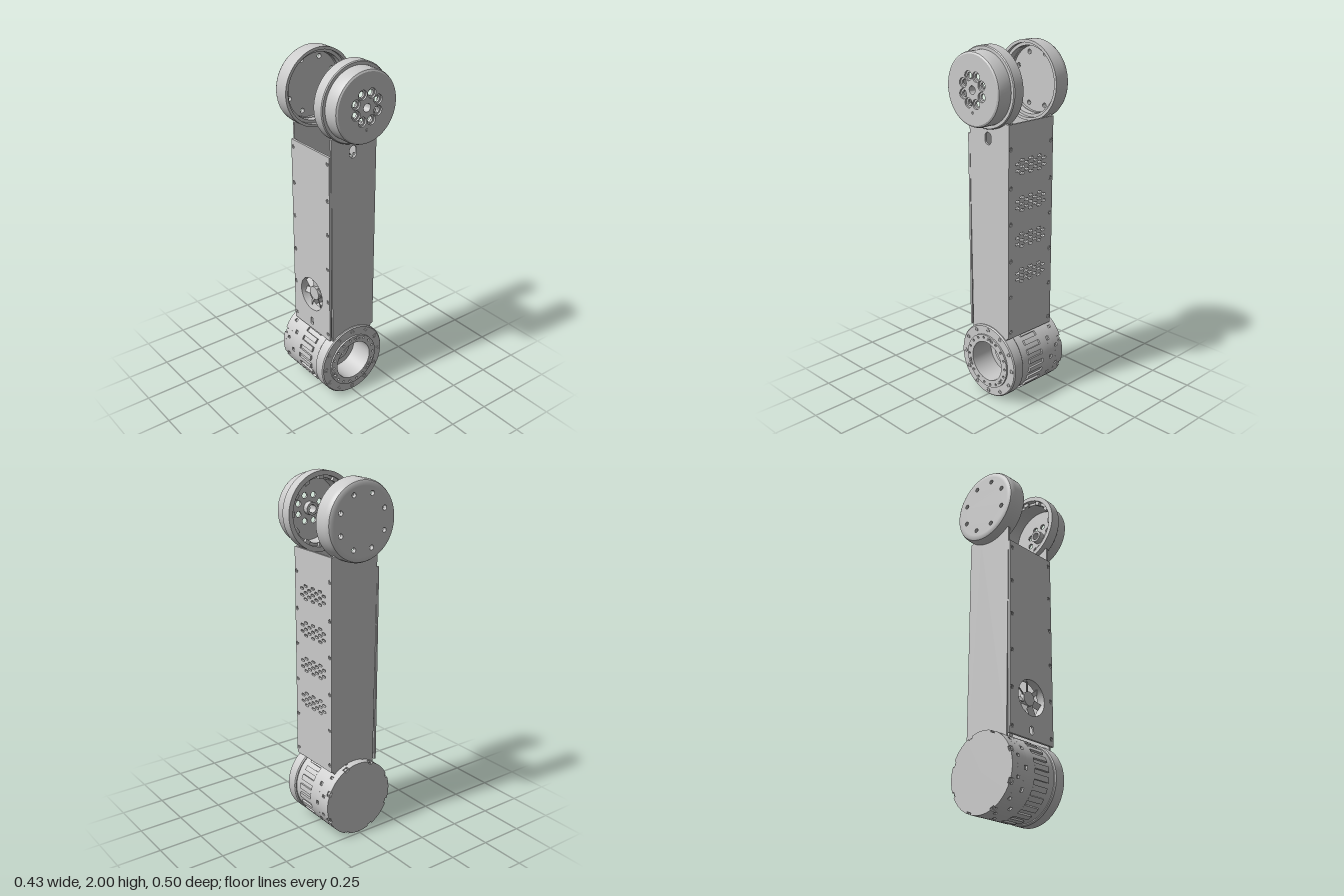
import * as THREE from 'three';
import { toCreasedNormals } from 'three/addons/utils/BufferGeometryUtils.js';

const TAU = Math.PI * 2, R = 0.216, LOW = 0.216, HIGH = 1.784;
const material = new THREE.MeshStandardMaterial({ color: 0xcccccc });

function add(parent, name, geometry, x = 0, y = 0, z = 0) {
  const mesh = new THREE.Mesh(geometry, material);
  mesh.name = name;
  mesh.position.set(x, y, z);
  parent.add(mesh);
  return mesh;
}

// Turned part around z; the [radius, z] profile runs anticlockwise
const turned = (profile, segments = 72) => toCreasedNormals(
  new THREE.LatheGeometry(profile.map(p => new THREE.Vector2(...p)), segments).rotateX(Math.PI / 2), 0.5);

// Flat part from z0 to z1
const slab = (shape, z0, z1) => toCreasedNormals(
  new THREE.ExtrudeGeometry(shape, { depth: z1 - z0, bevelEnabled: false, curveSegments: 20 }).translate(0, 0, z0), 0.5);

const disc = r => {
  const s = new THREE.Shape();
  for (let i = 0; i < 72; i++) {
    const a = i / 72 * TAU;
    i ? s.lineTo(r * Math.cos(a), r * Math.sin(a)) : s.moveTo(r, 0);
  }
  return s;
};
const hole = (s, x, y, r) => s.holes.push(new THREE.Path().absarc(x, y, r, 0, TAU, true));

// Rounded slot with half-length l and radius r
function slot(s, x, y, l, r, vertical = false) {
  const p = new THREE.Path(), q = Math.PI / 2, d = l - r;
  if (vertical) p.absarc(x, y + d, r, 0, 2 * q).absarc(x, y - d, r, 2 * q, 4 * q);
  else p.absarc(x + d, y, r, -q, q).absarc(x - d, y, r, q, 3 * q);
  p.closePath();
  s.holes.push(p);
}

// Calls fn with evenly spaced points on a circle
function around(n, r, fn, phase = 0) {
  for (let i = 0; i < n; i++) {
    const a = Math.PI / 2 + (i + phase) / n * TAU;
    fn(r * Math.cos(a), r * Math.sin(a), a);
  }
}

// Sleeve whose outside is cut by n notches of the given width
function notchedRing(n, width, inner, phase = 0) {
  const s = new THREE.Shape(), half = width / R / 2, steps = Math.ceil(96 / n);
  around(n, 1, (x, y, a) => {
    for (const e of [-half, half]) s.lineTo(0.204 * Math.cos(a + e), 0.204 * Math.sin(a + e));
    for (let k = 0; k <= steps; k++) {
      const b = a + half + (TAU / n - 2 * half) * k / steps;
      s.lineTo(R * Math.cos(b), R * Math.sin(b));
    }
  }, phase);
  s.curves.shift();
  hole(s, 0, 0, inner);
  return s;
}

const screw = r => turned([[0, -0.012], [r, -0.012], [r, 0.003], [r * 0.55, 0.003], [r * 0.55, -0.004], [0, -0.004]], 16);

function lowerJoint() {
  const g = new THREE.Group();
  g.name = 'lowerJoint';
  g.position.y = LOW;
  // Core with the deep front bore and its stepped floor
  add(g, 'core', turned([[0, -0.235], [0.205, -0.235], [0.205, 0.155], [0.118, 0.155], [0.118, 0.02],
    [0.072, 0.02], [0.068, 0.035], [0.045, 0.035], [0.045, 0], [0, 0]]));
  add(g, 'frontFlange', turned([[0.2, 0.083], [0.21, 0.083], [R, 0.089], [R, 0.149], [0.21, 0.155], [0.2, 0.155]]));
  // Outer sleeve: plain bands, cooling slots and small windows
  const bands = [[-0.235, -0.212, 8, 0.03, 0.5], [-0.212, -0.197, 0], [-0.197, -0.177, 12, 0.016, 0.5],
    [-0.177, -0.147, 0], [-0.147, -0.128, 12, 0.022, 0], [-0.128, -0.072, 0], [-0.072, 0.033, 24, 0.027, 0]];
  for (const [z0, z1, n, width, phase] of bands) {
    const shape = n ? notchedRing(n, width, 0.198, phase) : disc(R);
    if (!n) hole(shape, 0, 0, 0.198);
    add(g, n ? 'notchedBand' : 'plainBand', slab(shape, z0, z1));
  }
  around(8, 0.203, (x, y) => add(g, 'rearScrew', screw(0.011).rotateX(Math.PI), x, y, -0.226), 0.5);
  around(12, 0.19, (x, y) => add(g, 'flangeScrew', screw(0.013), x, y, 0.155));
  // Raised output ring
  const ring = disc(0.16);
  hole(ring, 0, 0, 0.118);
  around(18, 0.144, (x, y) => hole(ring, x, y, 0.007), 0.5);
  add(g, 'outputRing', slab(ring, 0.15, 0.165));
  for (const a of [80, 200, 320]) for (const d of [-6, 6]) {
    const t = (a + d) * Math.PI / 180;
    add(g, 'ringScrew', screw(0.009), 0.141 * Math.cos(t), 0.141 * Math.sin(t), 0.165);
  }
  return g;
}

function upperFrontCap() {
  const g = new THREE.Group();
  g.name = 'upperFrontCap';
  g.position.y = HIGH;
  add(g, 'shell', turned([[0.19, 0.1], [R, 0.1], [R, 0.16], [0.211, 0.165], [0.195, 0.165], [0.195, 0.235],
    [0.191, 0.245], [0.182, 0.25], [0.11, 0.25], [0.11, 0.228], [0.175, 0.228], [0.175, 0.13], [0.19, 0.13], [0.19, 0.1]]));
  // Counterbored hub face
  for (const [r, z0, z1] of [[0.026, 0.24, 0.25], [0.016, 0.228, 0.24]]) {
    const face = disc(0.111);
    hole(face, 0, 0, 0.022);
    around(8, 0.075, (x, y) => hole(face, x, y, r), 0.5);
    add(g, 'hubFace', slab(face, z0, z1));
  }
  add(g, 'hubBoss', turned([[0.022, 0.195], [0.036, 0.195], [0.036, 0.235], [0.022, 0.235], [0.022, 0.195]], 32));
  add(g, 'indexPin', screw(0.007), 0, -0.117, 0.25);
  around(12, 0.18, (x, y, a) => {
    add(g, 'innerLug', new THREE.BoxGeometry(0.022, 0.03, 0.02), x, y, 0.122).rotation.z = a;
  });
  return g;
}

function upperRearCap() {
  const g = new THREE.Group();
  g.name = 'upperRearCap';
  g.position.y = HIGH;
  add(g, 'shell', turned([[0.18, -0.246], [0.196, -0.246], [0.208, -0.24], [0.214, -0.229], [R, -0.21], [R, -0.142],
    [0.2, -0.142], [0.2, -0.165], [0.183, -0.165], [0.183, -0.205], [0.18, -0.205], [0.18, -0.246]]));
  const floor = disc(0.181);
  around(8, 0.15, (x, y) => hole(floor, x, y, 0.013), 0.5);
  add(g, 'floor', slab(floor, -0.246, -0.222));
  return g;
}

// Arm plate that wraps both joints
function armPlate(withSlot) {
  const s = new THREE.Shape(), w = 0.142, r = 0.213, a = 0.9;
  s.moveTo(-w, 0.395);
  s.absarc(0, LOW, r, Math.PI - a, a, true);
  s.lineTo(w, 0.395).lineTo(w, 1.61);
  s.absarc(0, HIGH, r, -a, a - Math.PI, true);
  s.lineTo(-w, 1.61).closePath();
  if (withSlot) slot(s, 0, 1.515, 0.034, 0.023, true);
  return s;
}

// Side panel outline drawn as (z, y) with edge screw holes
const screwRows = [0.44, 0.65, 0.86, 1.07, 1.27, 1.48];
function sidePanel(top) {
  const s = new THREE.Shape();
  s.moveTo(-0.19, 0.4).lineTo(0.143, 0.4).lineTo(0.143, top).lineTo(-0.19, top).closePath();
  for (const y of screwRows) for (const z of [-0.173, 0.127]) hole(s, z, y, 0.011);
  return s;
}

function arm() {
  const g = new THREE.Group();
  g.name = 'arm';
  add(g, 'frontPlate', slab(armPlate(true), 0.131, 0.143));
  add(g, 'rearPlate', slab(armPlate(false), -0.19, -0.178));
  for (const x of [-0.136, 0.136]) for (const z of [0.12, -0.166])
    add(g, 'plateFlange', new THREE.BoxGeometry(0.012, 1.1, 0.026), x, 0.96, z);

  // Vented panel: four groups of staggered slots
  const vented = sidePanel(1.61);
  for (const y of [1.375, 1.17, 0.965, 0.76])
    for (let k = -3; k <= 3; k++)
      for (const dy of k % 2 ? [-0.018, 0.018] : [-0.036, 0, 0.036])
        slot(vented, -0.022 + k * 0.033, y + dy, 0.0155, 0.0065);
  add(g, 'ventedPanel', slab(vented, 0, 0.013).rotateY(-Math.PI / 2), 0.155);

  // Fan panel: round opening and cable cut-out
  const fanY = 0.63, fanZ = -0.025, opening = sidePanel(1.52);
  hole(opening, fanZ, fanY, 0.1);
  slot(opening, fanZ, 0.45, 0.024, 0.014, true);
  add(g, 'fanPanel', slab(opening, 0, 0.013).rotateY(-Math.PI / 2), -0.142);
  for (const x of [-0.151, 0.151]) for (const y of screwRows) for (const z of [-0.173, 0.127])
    add(g, 'panelScrew', screw(0.009).rotateY(Math.sign(x) * Math.PI / 2), x, y, z);

  // Fan behind the opening
  const fan = new THREE.Group();
  fan.name = 'fan';
  fan.position.set(-0.123, fanY, fanZ);
  fan.rotation.y = -Math.PI / 2;
  g.add(fan);
  const frame = new THREE.Shape();
  frame.moveTo(-0.115, -0.115).lineTo(0.115, -0.115).lineTo(0.115, 0.115).lineTo(-0.115, 0.115).closePath();
  hole(frame, 0, 0, 0.102);
  add(fan, 'fanFrame', slab(frame, -0.018, 0.018));
  add(fan, 'fanHub', new THREE.CylinderGeometry(0.04, 0.04, 0.03, 32).rotateX(Math.PI / 2));
  around(7, 0.067, (x, y, a) => {
    const blade = add(fan, 'fanBlade', new THREE.BoxGeometry(0.06, 0.034, 0.004), x, y, 0);
    blade.rotation.set(0.6, 0, a, 'ZYX');
  });
  return g;
}

export function createModel() {
  const model = new THREE.Group();
  model.name = 'robotArmLink';
  model.add(lowerJoint(), upperFrontCap(), upperRearCap(), arm());
  return model;
}
